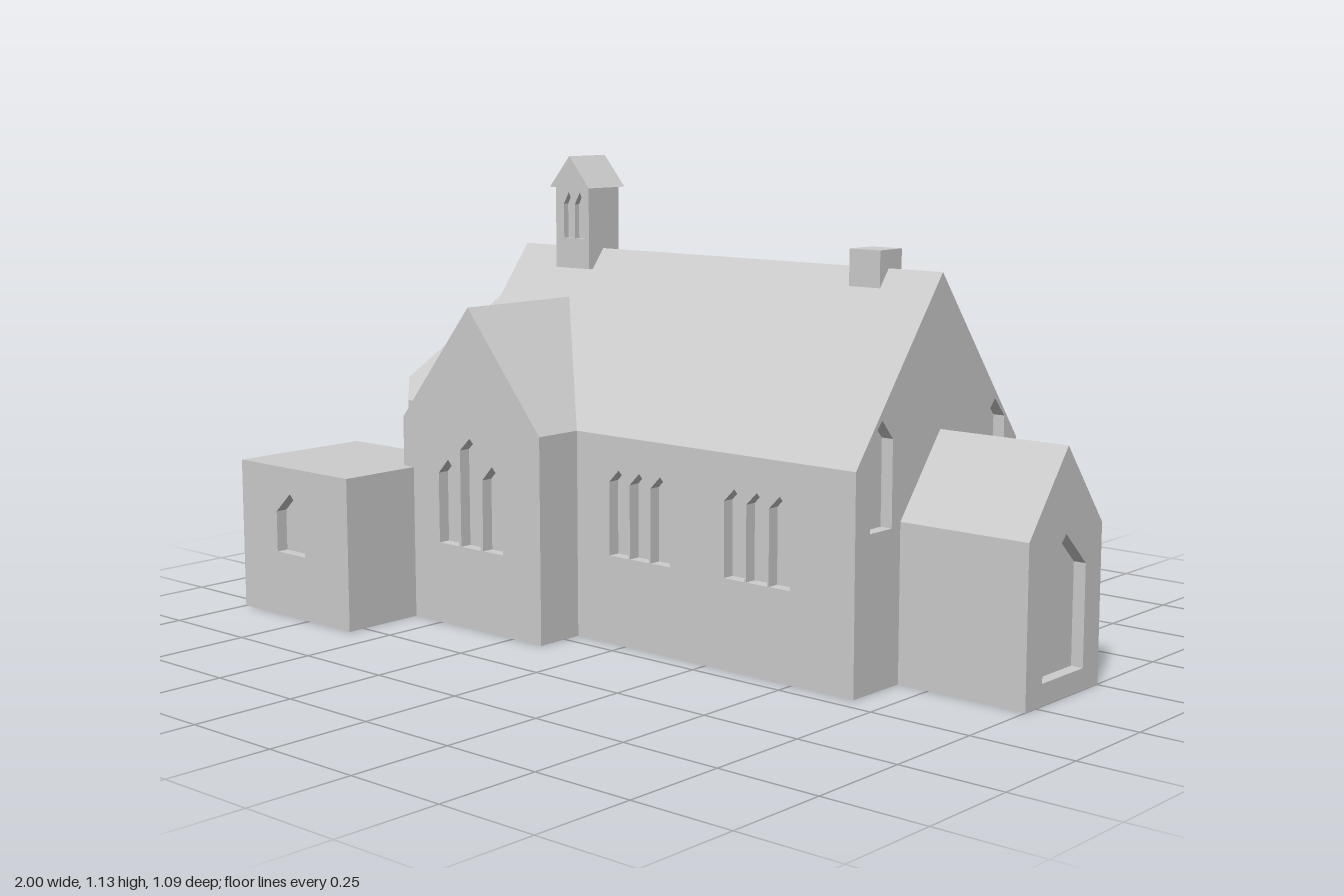
import * as THREE from 'three';
import { ConvexGeometry } from 'three/addons/geometries/ConvexGeometry.js';

const stone = new THREE.MeshStandardMaterial({ color: 0xcccccc });
stone.name = 'pale stone';

const AXIS = -0.107; // z of the main ridge
const D = 0.03;      // depth of window recesses
const FRONT = 0, EAST = Math.PI / 2, BACK = Math.PI, WEST = -Math.PI / 2;

const toPoints = (pts) => pts.map(([x, y]) => new THREE.Vector2(x, y));

// Pointed opening: centre, width, sill, shoulder, peak
const lancet = (c, w, sill, shoulder, peak) =>
  [[c - w / 2, sill], [c + w / 2, sill], [c + w / 2, shoulder], [c, peak], [c - w / 2, shoulder]];

// Gabled outline centred on u = 0
const gable = (w, eave, ridge) =>
  [[-w / 2, 0], [w / 2, 0], [w / 2, eave], [0, ridge], [-w / 2, eave]];

const rect = (x0, x1, y0, y1) => [[x0, y0], [x1, y0], [x1, y1], [x0, y1]];

// Outline extruded backwards from a facing plane, with optional openings
function slab(parent, name, outline, depth, facing, pos, openings = []) {
  const shape = new THREE.Shape(toPoints(outline));
  openings.forEach((o) => shape.holes.push(new THREE.Path(toPoints(o))));
  const geo = new THREE.ExtrudeGeometry(shape, { depth, bevelEnabled: false });
  geo.translate(0, 0, -depth);
  const mesh = new THREE.Mesh(geo, stone);
  mesh.name = name;
  mesh.rotation.y = facing;
  mesh.position.set(...pos);
  parent.add(mesh);
  return mesh;
}

function box(parent, name, x0, x1, y0, y1, z0, z1) {
  const mesh = new THREE.Mesh(new THREE.BoxGeometry(x1 - x0, y1 - y0, z1 - z0), stone);
  mesh.name = name;
  mesh.position.set((x0 + x1) / 2, (y0 + y1) / 2, (z0 + z1) / 2);
  parent.add(mesh);
}

function hull(parent, name, pts) {
  const mesh = new THREE.Mesh(new ConvexGeometry(pts.map((p) => new THREE.Vector3(...p))), stone);
  mesh.name = name;
  parent.add(mesh);
}

function group(root, name) {
  const g = new THREE.Group();
  g.name = name;
  root.add(g);
  return g;
}

function buildNave(root) {
  const g = group(root, 'nave');
  const h = 0.311, eave = 0.5;
  // Core with walls set back under the eaves
  const core = [[-h + D, 0], [h - D, 0], [h - D, eave], [h, eave], [0, 0.905], [-h, eave], [-h + D, eave]];
  slab(g, 'naveCore', core, 1.27, EAST, [0.67 - D, 0, AXIS]);
  slab(g, 'eastGable', gable(2 * h, eave, 0.905), D, EAST, [0.67, 0, AXIS],
    [-1, 1].map((s) => lancet(s * 0.219, 0.08, 0.357, 0.555, 0.6)));
  // Side walls with two triple windows each
  for (const s of [1, -1]) {
    const openings = [];
    for (const c of [0.045, 0.398])
      for (const i of [-1, 0, 1])
        openings.push(lancet(s * (c + i * 0.065), 0.06, 0.213, 0.39, 0.42));
    const ends = [s * -0.2, s * (0.67 - D)].sort((a, b) => a - b);
    slab(g, 'naveSideWall', rect(...ends, 0, eave), D, s > 0 ? FRONT : BACK,
      [0, 0, AXIS + s * h], openings);
  }
}

function buildTransept(root) {
  const g = group(root, 'transept');
  const outline = gable(0.475, 0.5, 0.787);
  const x = -0.3925;
  slab(g, 'transeptCore', outline, 0.875 - 2 * D, FRONT, [x, 0, 0.33 - D]);
  const openings = [-1, 0, 1].map((i) =>
    lancet(i * 0.077, 0.068, 0.2, i ? 0.374 : 0.438, i ? 0.41 : 0.47));
  slab(g, 'frontGable', outline, D, FRONT, [x, 0, 0.33], openings);
  slab(g, 'backGable', outline, D, BACK, [x, 0, -0.545], openings);
}

function buildPorch(root) {
  const g = group(root, 'porch');
  const outline = gable(0.294, 0.367, 0.555);
  slab(g, 'porchCore', outline, 0.36 - D, EAST, [1 - D, 0, AXIS]);
  slab(g, 'porchGable', outline, D, EAST, [1, 0, AXIS], [lancet(0, 0.166, 0.05, 0.285, 0.363)]);
}

function buildAnnex(root) {
  const g = group(root, 'annex');
  box(g, 'annexCore', -1, -0.595, 0, 0.377, 0.17, 0.545 - D);
  slab(g, 'annexFront', rect(-1, -0.595, 0, 0.377), D, FRONT, [0, 0, 0.545],
    [lancet(-0.812, 0.107, 0.16, 0.262, 0.312)]);
}

function buildApse(root) {
  const g = group(root, 'apse');
  const zc = -0.115, half = 0.225, narrow = 0.118, split = 0.42;
  const ridge = 0.775, slope = 1.25, hip = 0.183, inner = -0.97 + D;
  const wide = narrow + D * (half - narrow) / 0.11;
  const upper = [[-0.72, ridge, zc], [-0.6, ridge, zc]];
  const lower = [];
  for (const s of [1, -1]) {
    const z = (d) => zc + s * d;
    const eave = ridge - slope * half;
    upper.push([-0.6, eave, z(half)], [-0.86, eave, z(half)],
      [-0.72 - hip, ridge - slope * hip, z(hip)], [-0.97, ridge - slope * 0.25, z(narrow)],
      [-0.6, split, z(half)], [-0.86, split, z(half)], [-0.97, split, z(narrow)]);
    for (const y of [0, split])
      lower.push([-0.6, y, z(half)], [-0.86, y, z(half)], [inner, y, z(wide)]);
  }
  hull(g, 'apseRoof', upper);
  hull(g, 'apseWalls', lower);
  // West wall, its inner face widened to follow the canted corners
  const wall = slab(g, 'apseWestWall', rect(-narrow, narrow, 0, split), D, WEST, [-0.97, 0, zc],
    [-1, 1].map((s) => lancet(s * 0.075, 0.065, 0.2, 0.365, 0.4)));
  const p = wall.geometry.attributes.position;
  for (let i = 0; i < p.count; i++)
    if (p.getZ(i) < -D / 2 && Math.abs(p.getX(i)) > narrow - 0.001)
      p.setX(i, Math.sign(p.getX(i)) * wide);
  wall.geometry.computeVertexNormals();
}

function buildBelfry(root) {
  const g = group(root, 'belfry');
  const x = -0.417, front = -0.055, d = 0.015;
  box(g, 'belfryCore', x - 0.057, x + 0.057, 0.855, 1.06, -0.163, front - d);
  slab(g, 'belfryFront', rect(-0.057, 0.057, 0.855, 1.06), d, FRONT, [x, 0, front],
    [-1, 1].map((s) => lancet(0.007 + s * 0.019, 0.034, 0.93, 1.015, 1.045)));
  slab(g, 'belfryRoof', [[-0.068, 1.057], [0.068, 1.057], [0, 1.135]], 0.129, FRONT, [x, 0, -0.045]);
}

export function createModel() {
  const root = new THREE.Group();
  root.name = 'church';
  buildNave(root);
  buildTransept(root);
  buildPorch(root);
  buildAnnex(root);
  buildApse(root);
  buildBelfry(root);
  box(root, 'chimney', 0.437, 0.523, 0.85, 0.947, -0.156, -0.074);
  return root;
}
